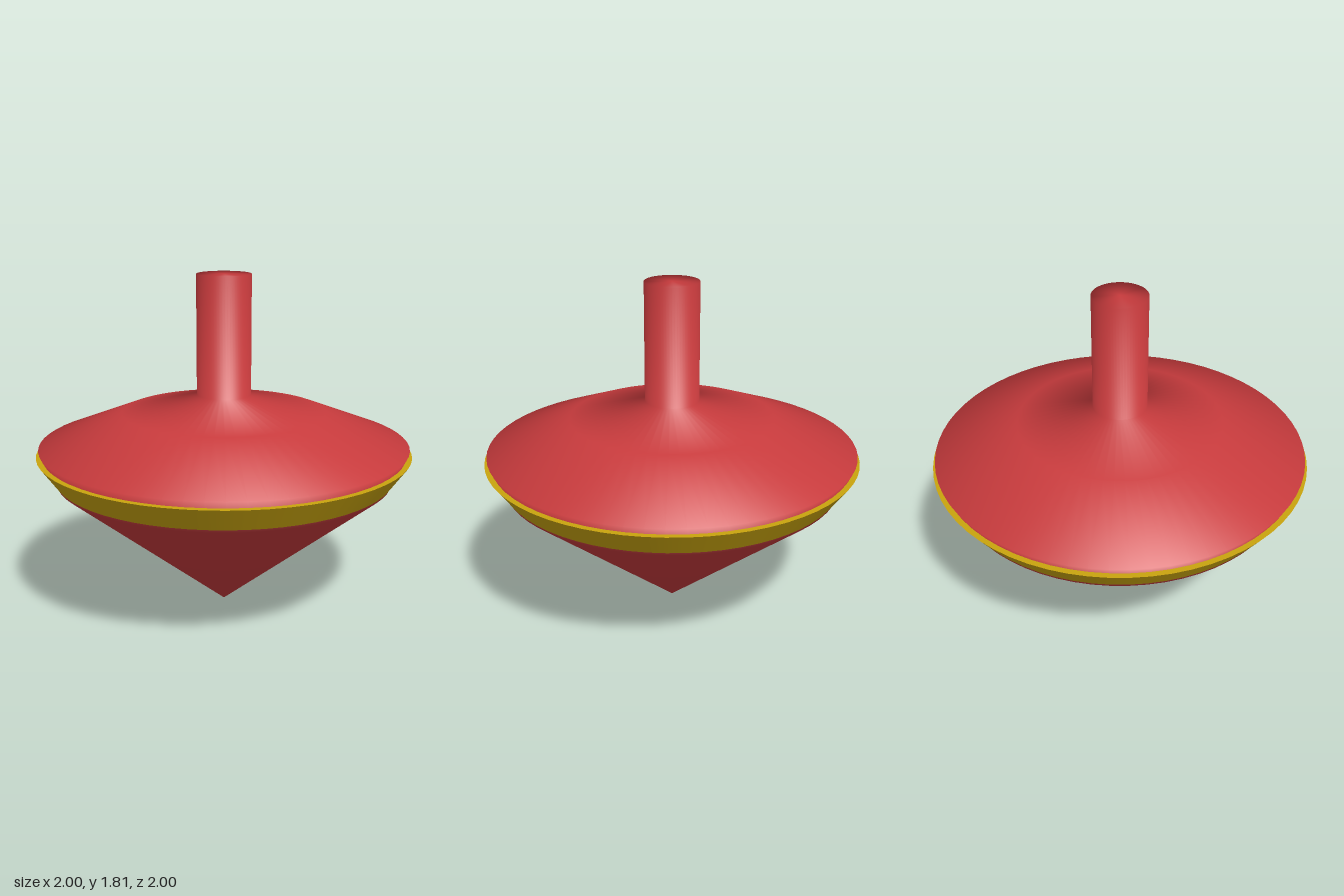
import * as THREE from 'three';

const SEGMENTS = 64;

// Revolve a list of [radius, height] points, bottom to top
function lathe(name, points, material) {
  const profile = points.map(([r, y]) => new THREE.Vector2(r, y));
  const mesh = new THREE.Mesh(new THREE.LatheGeometry(profile, SEGMENTS), material);
  mesh.name = name;
  return mesh;
}

export function createModel() {
  const red = new THREE.MeshStandardMaterial({ color: 0xc83b3d });
  red.name = 'red paint';
  const gold = new THREE.MeshStandardMaterial({ color: 0xc9a40e });
  gold.name = 'gold paint';

  const group = new THREE.Group();
  group.name = 'spinningTop';

  // Pointed body, sloping shoulder and stem in one smooth turned piece
  group.add(lathe('body', [
    [0, 0], [0.9, 0.725], [0.987, 0.905], [0.543, 1.08],
    [0.144, 1.173], [0.144, 1.807], [0, 1.807],
  ], red));

  // Flared band around the widest part, with its narrow upper ledge
  group.add(lathe('band', [[0.906, 0.738], [1, 0.867]], gold));
  group.add(lathe('bandLedge', [[1, 0.867], [0.96, 0.867]], gold));

  return group;
}
